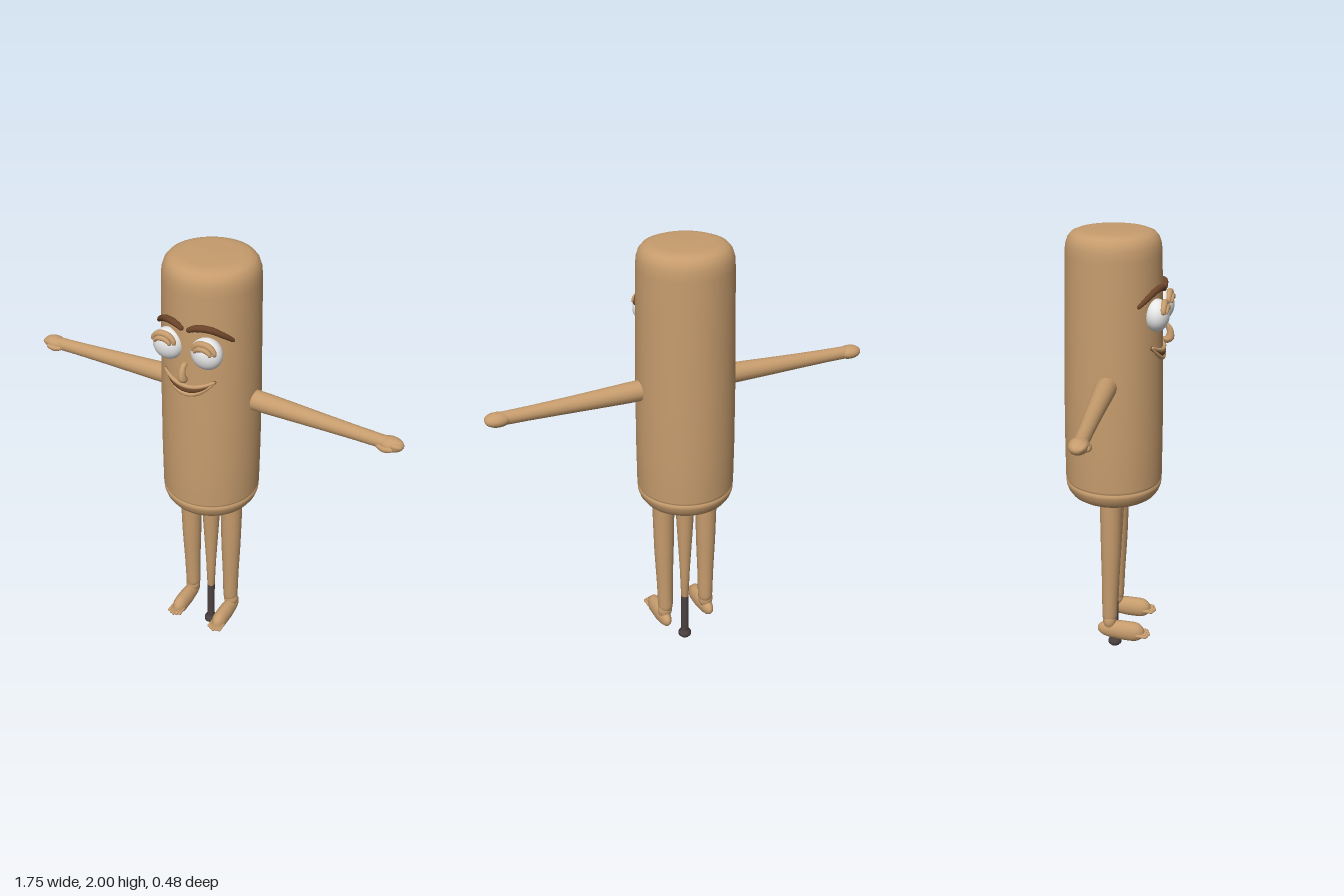
import * as THREE from 'three';
import { mergeVertices } from 'three/addons/utils/BufferGeometryUtils.js';

const V = (x, y, z) => new THREE.Vector3(x, y, z);
const Z = -0.02; // depth of the body axis

// Round-ended tube through points, with radii spread evenly along its length
function limb(points, radii, segs = 40, sides = 16) {
  const curve = new THREE.CatmullRomCurve3(points);
  const geo = new THREE.TubeGeometry(curve, segs, 1, sides, false);
  const len = curve.getLength();
  const pos = geo.attributes.position;
  for (let i = 0; i <= segs; i++) {
    // sample more closely near both ends so the caps are round
    const t = 0.5 - 0.5 * Math.cos(Math.PI * i / segs);
    const k = t * (radii.length - 1), a = Math.min(Math.floor(k), radii.length - 2);
    let r = THREE.MathUtils.lerp(radii[a], radii[a + 1], k - a);
    const d = Math.min(t, 1 - t) * len;
    if (d < r) r *= Math.sqrt(Math.max(0, 1 - (1 - d / r) ** 2));
    const from = curve.getPointAt(i / segs), to = curve.getPointAt(t);
    for (let j = 0; j <= sides; j++) {
      const n = i * (sides + 1) + j;
      const p = V(0, 0, 0).fromBufferAttribute(pos, n).sub(from).multiplyScalar(r).add(to);
      pos.setXYZ(n, p.x, p.y, p.z);
    }
  }
  geo.deleteAttribute('uv');
  geo.deleteAttribute('normal');
  const out = mergeVertices(geo, 1e-5);
  out.computeVertexNormals();
  return out;
}

// Point in front of the round body at distance r from its axis
const onFace = (x, y, r) => V(x, y, Z + Math.sqrt(r * r - x * x));

function lathe(profile, sides = 64) {
  return new THREE.LatheGeometry(profile.map(([r, y]) => new THREE.Vector2(r, y)), sides);
}

export function createModel() {
  const mat = (name, color) => new THREE.MeshStandardMaterial({ name, color });
  const tan = mat('tan', 0xc69c6d);
  const brown = mat('brown', 0x6b4429);
  const white = mat('eye white', 0xececec);
  const dark = mat('dark tip', 0x4a403f);

  const model = new THREE.Group();
  const add = (name, geo, material, parent = model) => {
    const m = new THREE.Mesh(geo, material);
    m.name = name;
    parent.add(m);
    return m;
  };
  const ball = (name, material, c, s, parent) => {
    const m = add(name, new THREE.SphereGeometry(1, 32, 20), material, parent);
    m.position.set(...c);
    m.scale.set(...s);
    return m;
  };

  // Body with rounded top, a bottom rim and a recessed underside
  add('body', lathe([
    [0, 0.86], [0.14, 0.86], [0.148, 0.85], [0.15, 0.82], [0.158, 0.811], [0.172, 0.812],
    [0.19, 0.824], [0.205, 0.845], [0.213, 0.868], [0.214, 0.88], [0.209, 0.886], [0.209, 0.89],
    [0.215, 0.9], [0.216, 1.1], [0.214, 1.35], [0.208, 1.65], [0.203, 1.9], [0.2, 1.94],
    [0.191, 1.968], [0.175, 1.987], [0.152, 1.996], [0.12, 1.999], [0, 2],
  ]), tan).position.z = Z;

  // Central tapered stem with a dark, knobbed end
  add('stem', lathe([[0, 0.245], [0.018, 0.245], [0.024, 0.4], [0.037, 0.63], [0.05, 0.87]], 24), tan).position.z = Z + 0.003;
  add('stemTip', lathe([
    [0, 0], [0.022, 0.002], [0.031, 0.012], [0.031, 0.024], [0.024, 0.036], [0.018, 0.044],
    [0.018, 0.25], [0, 0.25],
  ], 24), dark).position.z = Z + 0.003;

  for (const s of [1, -1]) {
    const side = s > 0 ? 'left' : 'right';

    // Arm with a mitten hand, thumb and curled fingers
    const arm = new THREE.Group();
    arm.name = side + 'Arm';
    model.add(arm);
    add('sleeve', limb([V(s * 0.12, 1.383, -0.018), V(s * 0.45, 1.377, -0.016), V(s * 0.83, 1.371, -0.011)],
      [0.046, 0.044, 0.039, 0.034, 0.03, 0.028]), tan, arm);
    ball('hand', tan, [s * 0.818, 1.371, -0.013], [0.055, 0.03, 0.039], arm);
    add('thumb', limb([V(s * 0.765, 1.363, 0.008), V(s * 0.8, 1.36, 0.019), V(s * 0.84, 1.367, 0.02)],
      [0.01, 0.014, 0.012], 20, 10), tan, arm);
    add('finger', limb([V(s * 0.82, 1.38, 0.014), V(s * 0.85, 1.377, 0.008), V(s * 0.868, 1.37, -0.006)],
      [0.013, 0.013, 0.011], 20, 10), tan, arm);

    // Leg, ankle, foot and toes
    const leg = new THREE.Group();
    leg.name = side + 'Leg';
    model.add(leg);
    add('shin', limb([V(s * 0.106, 0.9, -0.016), V(s * 0.106, 0.55, -0.018), V(s * 0.104, 0.19, -0.025)],
      [0.052, 0.049, 0.045, 0.038, 0.034]), tan, leg);
    ball('ankle', tan, [s * 0.107, 0.2, -0.024], [0.035, 0.045, 0.031], leg);
    const foot = add('foot', limb([V(0, 0.158, -0.08), V(0, 0.152, 0.02), V(0, 0.146, 0.14)],
      [0.028, 0.042, 0.048, 0.048, 0.043]), tan, leg);
    foot.scale.x = 0.72;
    foot.position.x = s * 0.11;
    for (let i = -2; i <= 2; i++) {
      const x = s * 0.111 + i * 0.014, tip = 0.168 - 0.006 * Math.abs(i);
      add('toe', limb([V(x, 0.142, 0.1), V(x, 0.142, 0.14), V(x, 0.139, tip)], [0.008, 0.008, 0.009], 12, 8), tan, leg);
    }

    // Eye with a folded upper lid
    const eye = new THREE.Group();
    eye.name = side + 'Eye';
    model.add(eye);
    ball('eyeball', white, [s * 0.088, 1.667, 0.175], [0.068, 0.068, 0.053], eye);
    const arc = (rx, ry, z, r) => {
      const pts = [];
      for (let i = 0; i <= 8; i++) {
        const a = Math.PI * i / 8;
        pts.push(V(s * 0.092 + rx * Math.cos(a), 1.682 + ry * Math.sin(a), z));
      }
      return limb(pts, [r * 0.7, r, r, r * 0.7], 32, 10);
    };
    add('upperLid', arc(0.05, 0.04, 0.207, 0.014), tan, eye);
    add('lidFold', arc(0.036, 0.024, 0.219, 0.011), tan, eye);

    // Eyebrow wrapped around the body
    add(side + 'Eyebrow', limb([[0.008, 1.757], [0.05, 1.775], [0.1, 1.772], [0.145, 1.745], [0.175, 1.714]]
      .map(([x, y]) => onFace(s * x, y, 0.216)), [0.01, 0.015, 0.014, 0.012, 0.008], 32, 10), brown);
  }

  // Hooked nose
  add('nose', limb([V(0, 1.605, 0.19), V(0, 1.602, 0.208), V(0, 1.575, 0.222), V(0, 1.545, 0.217), V(0, 1.535, 0.195)],
    [0.011, 0.012, 0.015, 0.02, 0.018]), tan);

  // Smile: two lips with a dark gap between
  const smile = (name, low, r, radius, material) => {
    const pts = [];
    for (let i = -4; i <= 4; i++) {
      const u = i / 4;
      pts.push(onFace(u * 0.118, low + (1.535 - low) * u * u, radius));
    }
    add(name, limb(pts, [r * 0.6, r, r, r, r * 0.6], 40, 10), material);
  };
  smile('upperLip', 1.5, 0.009, 0.216, tan);
  smile('mouthGap', 1.482, 0.013, 0.21, brown);
  smile('lowerLip', 1.463, 0.01, 0.214, tan);

  return model;
}
